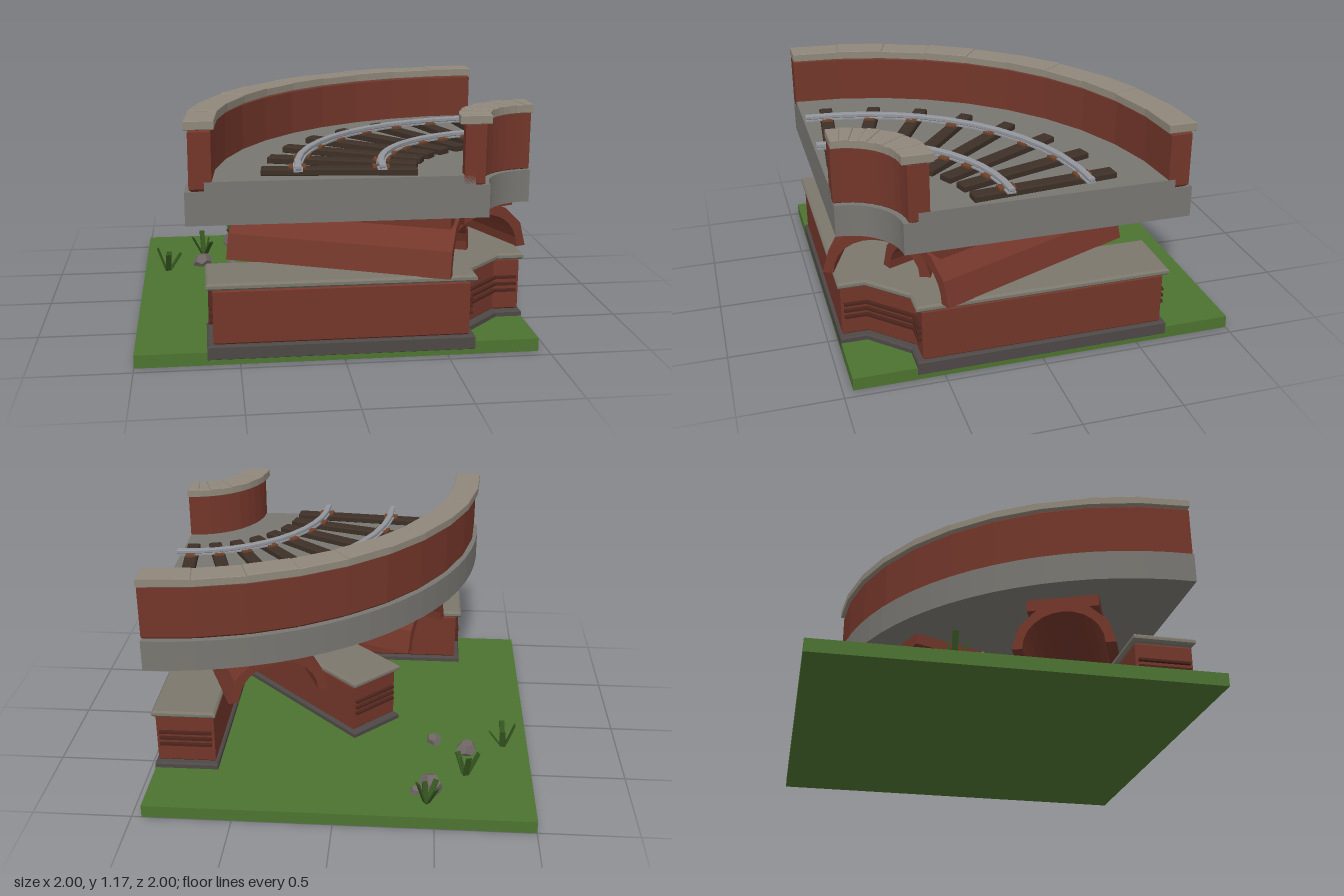
import * as THREE from 'three';

const C = 0.95; // corner of the tile, centre of the curve
const mat = (color, extra = {}) => new THREE.MeshStandardMaterial({ color, flatShading: true, ...extra });

// Plan outline [x, z] raised from y0 to y1, with optional chamfer
function slab(points, y0, y1, bevel = 0) {
  const shape = new THREE.Shape(points.map(([x, z]) => new THREE.Vector2(x, -z)));
  const g = new THREE.ExtrudeGeometry(shape, {
    depth: y1 - y0 - 2 * bevel, bevelEnabled: bevel > 0, bevelThickness: bevel,
    bevelSize: bevel, bevelOffset: -bevel, bevelSegments: 1,
  });
  return g.rotateX(-Math.PI / 2).translate(0, y0 + bevel, 0);
}

// Point at radius r and angle a (degrees) around the corner
const polar = (r, a) => {
  const t = THREE.MathUtils.degToRad(a);
  return [C - r * Math.cos(t), C - r * Math.sin(t)];
};

// Outline of a ring sector
function sector(r0, r1, a0, a1, n) {
  const pts = [];
  for (let i = 0; i <= n; i++) pts.push(polar(r1, a0 + (a1 - a0) * i / n));
  for (let i = n; i >= 0; i--) pts.push(polar(r0, a0 + (a1 - a0) * i / n));
  return pts;
}

const rect = (l, w) => [[-l / 2, -w / 2], [l / 2, -w / 2], [l / 2, w / 2], [-l / 2, w / 2]];

export function createModel() {
  const model = new THREE.Group();
  const grass = mat(0x4c7330), blade = mat(0x35551f, { side: THREE.DoubleSide });
  const brick = mat(0x73362a), darkBrick = mat(0x4a241c), cap = mat(0x8f877a), concrete = mat(0x787671);
  const pierCap = mat(0x7b776c), plinth = mat(0x4d4846), wood = mat(0x3d3027), steel = mat(0x92959b);
  const rust = mat(0x70432a), stone = mat(0x6e6664);

  const add = (parent, name, geometry, material, x = 0, y = 0, z = 0, ry = 0) => {
    const m = new THREE.Mesh(geometry, material);
    m.name = name;
    m.position.set(x, y, z);
    m.rotation.y = ry;
    parent.add(m);
    return m;
  };
  const group = (name, x = 0, z = 0, ry = 0) => {
    const g = new THREE.Group();
    g.name = name;
    g.position.set(x, 0, z);
    g.rotation.y = ry;
    model.add(g);
    return g;
  };

  // Ground tile
  add(model, 'ground', new THREE.BoxGeometry(1.95, 0.065, 1.95), grass, -0.025, 0.0325, -0.025);

  // Three piers: one along each cut edge, one on the diagonal
  const piers = [[-0.01, 0.787, 0], [0.787, -0.01, Math.PI / 2], [0.271, 0.271, -Math.PI / 4]];
  piers.forEach(([x, z, ry], i) => {
    const p = group('pier' + (i + 1), x, z, ry);
    add(p, 'plinth', slab(rect(1.29, 0.33), 0.02, 0.095, 0.008), plinth);
    add(p, 'pierBody', slab(rect(1.23, 0.3), 0.085, 0.375, 0.018), brick);
    add(p, 'pierCap', slab(rect(1.29, 0.33), 0.368, 0.402, 0.01), pierCap);
    for (const s of [-1, 1])
      for (const y of [0.2, 0.235, 0.27])
        add(p, 'endRidge', new THREE.BoxGeometry(0.04, 0.012, 0.27), darkBrick, s * 0.615, y, 0);
  });

  // Barrel vaults between the piers, each with a bearing beam on top
  const arch = new THREE.Shape();
  const SEG = 6, R = 0.27, r = 0.215;
  for (let i = 0; i <= SEG; i++) {
    const a = Math.PI * i / SEG;
    arch[i ? 'lineTo' : 'moveTo'](R * Math.cos(a), 0.25 * Math.sin(a));
  }
  for (let i = 12; i >= 0; i--) {
    const a = Math.PI * i / 12;
    arch.lineTo(r * Math.cos(a), 0.195 * Math.sin(a));
  }
  const vaultGeo = new THREE.ExtrudeGeometry(arch, { depth: 1.126, bevelEnabled: false }).translate(0, 0.4, -0.563);
  [[0.535, 0.073, Math.PI / 8], [0.073, 0.535, Math.PI * 3 / 8]].forEach(([x, z, ry], i) => {
    const v = group('vault' + (i + 1), x, z, ry);
    add(v, 'barrelVault', vaultGeo, brick);
    add(v, 'bearingBeam', new THREE.BoxGeometry(0.38, 0.068, 1.09), brick, 0, 0.656, 0);
  });

  // Curved deck and its ballast bed
  add(model, 'deck', slab(sector(0.27, 1.69, 0, 90, 20), 0.685, 0.845), concrete);
  add(model, 'trackBed', slab(sector(0.34, 1.6, 0, 90, 20), 0.84, 0.89), concrete);

  // Parapets: ten chamfered brick panels each, under coping stones
  const parapets = [
    { name: 'outerParapet', wall: [1.565, 1.67], coping: [1.55, 1.69], bevel: 0.012 },
    { name: 'innerParapet', wall: [0.295, 0.395], coping: [0.27, 0.42], bevel: 0.005 },
  ];
  for (const { name, wall, coping, bevel } of parapets) {
    const p = group(name);
    add(p, 'wallCore', slab(sector(wall[0] + 0.015, wall[1] - 0.015, 0.3, 89.7, 10), 0.845, 1.13), darkBrick);
    for (let i = 0; i < 10; i++) {
      add(p, 'brickPanel', slab(sector(wall[0], wall[1], i * 9, i * 9 + 9, 1), 0.845, 1.132, bevel), brick);
      add(p, 'coping', slab(sector(coping[0], coping[1], i * 9, i * 9 + 9, 1), 1.13, i % 2 ? 1.175 : 1.172, 0.003), cap);
    }
  }

  // Track: sleepers, rail plates and two curved rails
  const track = group('track');
  const rails = [0.78, 1.17];
  for (let i = 0; i < 8; i++) {
    const a = (i + 0.5) * 90 / 8, ry = -THREE.MathUtils.degToRad(a);
    const [x, z] = polar(0.975, a);
    add(track, 'sleeper', slab(rect(0.73, 0.07), 0.885, 0.924, 0.007), wood, x, 0, z, ry);
    for (const rr of rails) {
      const [px, pz] = polar(rr, a);
      add(track, 'railPlate', new THREE.BoxGeometry(0.08, 0.012, 0.055), rust, px, 0.928, pz, ry);
    }
  }
  for (const rr of rails) {
    add(track, 'railFoot', slab(sector(rr - 0.022, rr + 0.022, 0, 90, 12), 0.926, 0.934), steel);
    add(track, 'railHead', slab(sector(rr - 0.016, rr + 0.016, 0, 90, 12), 0.934, 0.956, 0.004), steel);
  }

  // Rocks
  const rocks = [[-0.48, -0.76, 0.075, 0.3], [-0.41, -0.79, 0.036, 1.4], [-0.67, -0.4, 0.06, 2.2], [-0.5, -0.31, 0.045, 0.9]];
  for (const [x, z, s, ry] of rocks) {
    const m = add(model, 'rock', new THREE.DodecahedronGeometry(s), stone, x, 0.06 + s * 0.45, z, ry);
    m.scale.set(0.8, 0.85, 1);
    m.rotation.z = ry * 0.4;
  }

  // Grass tufts: leaning blades
  [[-0.46, -0.87, 0.4], [-0.66, -0.61, 1.6], [-0.87, -0.32, 2.9]].forEach(([x, z, turn]) => {
    const tuft = group('grassTuft', x, z, turn);
    for (let i = 0; i < 4; i++) {
      const h = 0.11 + 0.012 * ((i * 3) % 4);
      const pivot = new THREE.Group();
      pivot.rotation.y = i * 1.75;
      tuft.add(pivot);
      const b = add(pivot, 'grassBlade', new THREE.BoxGeometry(0.028, h, 0.008).translate(0, h / 2, 0), blade, 0, 0.06, 0.008);
      b.rotation.x = 0.2 + 0.14 * i;
    }
  });

  return model;
}
